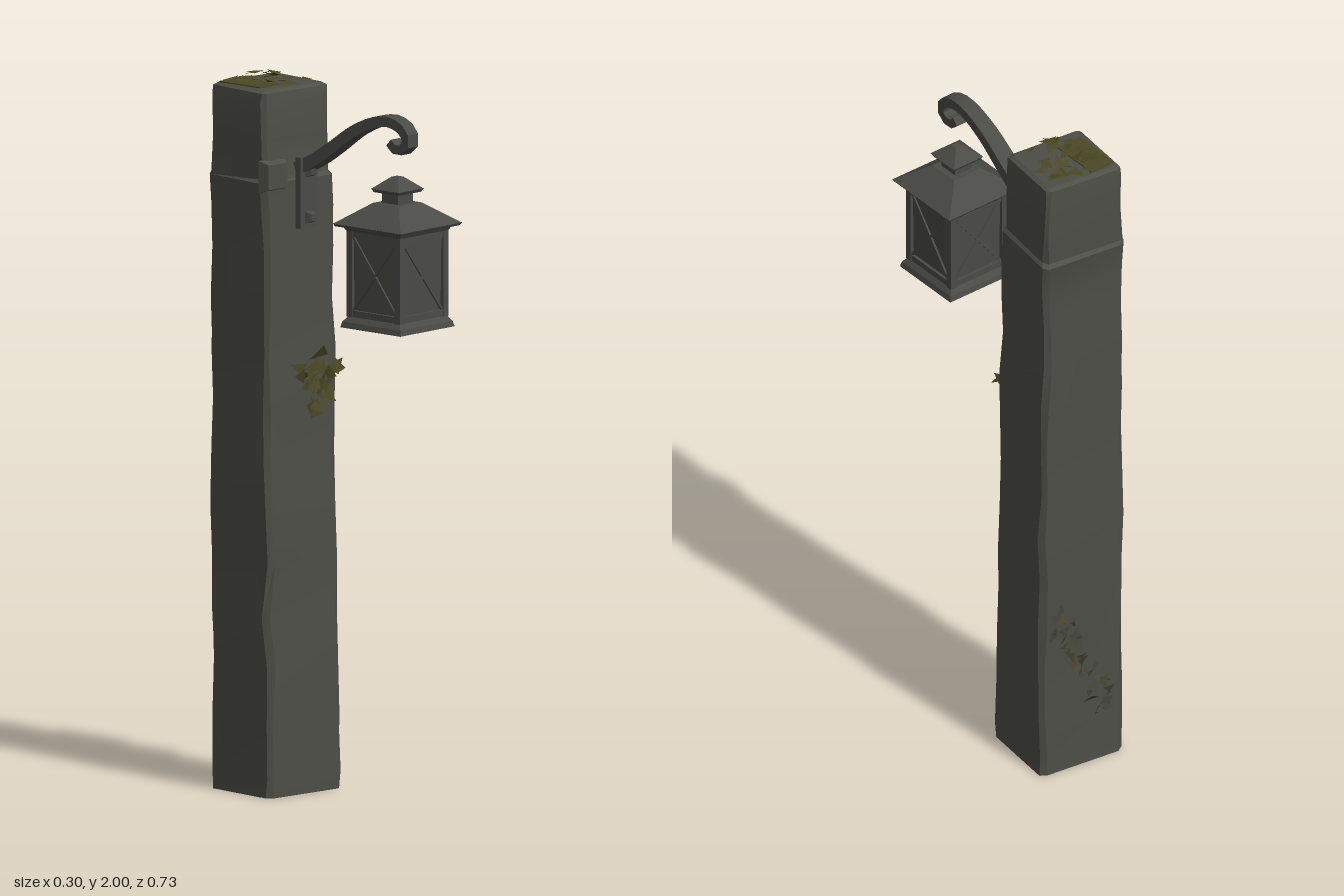
import * as THREE from 'three';
import { toCreasedNormals } from 'three/addons/utils/BufferGeometryUtils.js';

const stone = new THREE.MeshStandardMaterial({ color: 0x4d4e46 });
stone.name = 'weatheredWood';
const iron = new THREE.MeshStandardMaterial({ color: 0x4a4b46 });
iron.name = 'agedIron';
const mossGreen = new THREE.MeshStandardMaterial({ color: 0x4b4824, side: THREE.DoubleSide });
mossGreen.name = 'moss';
const bark = new THREE.MeshStandardMaterial({ color: 0x43443a, side: THREE.DoubleSide });
bark.name = 'darkGrowth';

// Small seeded random generator
function seeded(seed) {
  return () => {
    seed = (seed * 16807) % 2147483647;
    return seed / 2147483647;
  };
}

function add(parent, name, geometry, material, x = 0, y = 0, z = 0) {
  const mesh = new THREE.Mesh(geometry, material);
  mesh.name = name;
  mesh.position.set(x, y, z);
  parent.add(mesh);
  return mesh;
}

// Closed skin over rings of [x, y, z] points, counterclockwise about the path
function loft(rings, crease = 0.5) {
  const pos = [];
  const n = rings[0].length;
  const tri = (a, b, c) => pos.push(...a, ...b, ...c);
  for (let r = 0; r < rings.length - 1; r++) {
    for (let i = 0; i < n; i++) {
      const j = (i + 1) % n;
      const [a, b] = [rings[r], rings[r + 1]];
      tri(a[i], a[j], b[j]);
      tri(a[i], b[j], b[i]);
    }
  }
  const [first, last] = [rings[0], rings[rings.length - 1]];
  for (let i = 1; i < n - 1; i++) {
    tri(first[0], first[i + 1], first[i]);
    tri(last[0], last[i], last[i + 1]);
  }
  const g = new THREE.BufferGeometry();
  g.setAttribute('position', new THREE.Float32BufferAttribute(pos, 3));
  return toCreasedNormals(g, crease);
}

// Square frustum with given half widths
function frustum(bottom, top, height) {
  const g = new THREE.CylinderGeometry(top * Math.SQRT2, bottom * Math.SQRT2, height, 4, 1);
  g.rotateY(Math.PI / 4);
  return toCreasedNormals(g, 0.3);
}

// Skewed square post with worn corners, a ledge and a bevelled top
function postGeometry() {
  const rand = seeded(71);
  const corners = [[-0.145, 0.106], [0.12, 0.136], [0.145, -0.104], [-0.12, -0.139]];
  // height, scale, shift in z
  const levels = [[0, 1, 0], [0.05, 1, 0], [0.2, 1, 0], [0.36, 0.995, 0], [0.5, 1, -0.003],
    [0.66, 0.985, -0.005], [0.8, 1.01, -0.006], [0.95, 0.98, -0.008], [1.1, 0.985, -0.01],
    [1.24, 0.965, -0.01], [1.38, 0.97, -0.012], [1.52, 0.96, -0.012], [1.64, 0.955, -0.014],
    [1.725, 0.985, -0.018], [1.735, 0.94, -0.02], [1.84, 0.935, -0.021], [1.95, 0.92, -0.022],
    [1.975, 0.89, -0.022], [1.983, 0.8, -0.022]];
  const rings = levels.map(([y, s, dz], k) => {
    const ring = [];
    const wobble = k === 0 || y > 1.97 ? 0 : 0.01;
    corners.forEach((c, i) => {
      const [p, q] = [corners[(i + 3) % 4], corners[(i + 1) % 4]];
      const jx = (rand() - 0.5) * wobble, jz = (rand() - 0.5) * wobble;
      [p, q].forEach((o) => {
        const t = 0.03 + rand() * 0.05;
        ring.push([(c[0] + (o[0] - c[0]) * t) * s + jx, y,
          -0.206 + dz + (c[1] + (o[1] - c[1]) * t) * s + jz]);
      });
    });
    return ring;
  });
  return loft(rings, 0.45);
}

// Scatter of ragged leaves; place(u, v, out) maps to the surface
function scatter(count, size, lift, seed, pick, place) {
  const rand = seeded(seed);
  const pos = [];
  for (let k = 0; k < count; k++) {
    const [u, v] = pick(rand);
    const turn = rand() * Math.PI * 2;
    for (let i = 0; i < 3; i++) {
      const a = turn + i * 2.1 + rand() * 0.8;
      const r = size * (0.4 + rand() * 0.8);
      pos.push(...place(u + r * Math.cos(a), v + r * Math.sin(a), 0.002 + rand() * lift));
    }
  }
  const g = new THREE.BufferGeometry();
  g.setAttribute('position', new THREE.Float32BufferAttribute(pos, 3));
  g.computeVertexNormals();
  return g;
}

// Tapered flat bar swept along the curl
function bracketGeometry() {
  const path = new THREE.CatmullRomCurve3([[1.755, -0.11], [1.785, -0.05], [1.83, 0.02], [1.885, 0.1],
    [1.92, 0.18], [1.925, 0.235], [1.905, 0.28], [1.875, 0.293], [1.852, 0.275], [1.852, 0.245],
    [1.868, 0.228]].map(([y, z]) => new THREE.Vector3(0, y, z)));
  const rings = [];
  for (let k = 0; k <= 22; k++) {
    const t = k / 22;
    const p = path.getPointAt(t), d = path.getTangentAt(t);
    const w = 0.03 - 0.011 * t, h = 0.018 - 0.005 * t;
    rings.push([[1, -1], [1, 1], [-1, 1], [-1, -1]].map(([sx, sn]) =>
      [sx * w + 0.003, p.y + sn * h * d.z, p.z - sn * h * d.y]));
  }
  return loft(rings, 0.6);
}

function lantern() {
  const g = new THREE.Group();
  g.name = 'lantern';
  add(g, 'lanternBase', frustum(0.112, 0.108, 0.016), iron, 0, 0.008);
  add(g, 'lanternFoot', frustum(0.108, 0.096, 0.016), iron, 0, 0.024);
  add(g, 'lanternBody', frustum(0.088, 0.092, 0.25), iron, 0, 0.155);
  add(g, 'lanternCollar', frustum(0.1, 0.108, 0.014), iron, 0, 0.278);
  add(g, 'roofEave', frustum(0.122, 0.127, 0.008), iron, 0, 0.288);
  add(g, 'roof', frustum(0.127, 0.048, 0.058), iron, 0, 0.32);
  add(g, 'chimney', frustum(0.03, 0.03, 0.036), iron, 0, 0.362);
  add(g, 'chimneyCapRim', frustum(0.046, 0.052, 0.01), iron, 0, 0.384);
  add(g, 'chimneyCap', frustum(0.052, 0.012, 0.034), iron, 0, 0.405);
  for (let i = 0; i < 4; i++) {
    // One corner post, two rails and crossed bars on each side
    const side = new THREE.Group();
    side.name = 'lanternSide';
    side.rotation.y = i * Math.PI / 2;
    add(side, 'cornerPost', new THREE.BoxGeometry(0.02, 0.25, 0.02), iron, 0.09, 0.155, 0.09);
    add(side, 'lowerRail', new THREE.BoxGeometry(0.18, 0.018, 0.014), iron, 0, 0.04, 0.09);
    add(side, 'upperRail', new THREE.BoxGeometry(0.18, 0.018, 0.014), iron, 0, 0.265, 0.09);
    for (const s of [-1, 1]) {
      add(side, 'crossBar', new THREE.BoxGeometry(0.007, 0.265, 0.006), iron, 0, 0.153, 0.093)
        .rotation.z = s * 0.66;
    }
    g.add(side);
  }
  return g;
}

export function createModel() {
  const model = new THREE.Group();
  model.name = 'lanternPost';
  add(model, 'post', postGeometry(), stone);

  // Wall plate, bolts and splinters under the bracket
  add(model, 'bracketPlate', new THREE.BoxGeometry(0.07, 0.2, 0.02), iron, 0.0, 1.69, -0.092);
  for (const y of [1.62, 1.75]) {
    add(model, 'bolt', frustum(0.018, 0.01, 0.02), iron, 0, y, -0.075).rotation.x = Math.PI / 2;
  }
  add(model, 'bracket', bracketGeometry(), iron);
  const knot = add(model, 'knot', frustum(0.045, 0.035, 0.03), stone, -0.105, 1.745, -0.117);
  knot.rotation.set(Math.PI / 2, 0, 0.1);

  const hanging = lantern();
  hanging.position.set(0.002, 1.35, 0.245);
  model.add(hanging);

  // Moss on the top, spread over the skewed square
  const topPlace = (u, v, out) => [u, 1.981 + out, -0.228 + v + 0.12 * u];
  const topPick = (r) => [(r() - 0.5) * 0.18, (r() - 0.5) * 0.18];
  add(model, 'topMoss', scatter(34, 0.028, 0.017, 12, topPick, topPlace), mossGreen);
  add(model, 'topMossPatch', new THREE.BoxGeometry(0.08, 0.004, 0.15), mossGreen, -0.06, 1.984, -0.25);

  // Moss on the front face
  const frontPlace = (u, v, out) => [u, v, -0.089 + 0.113 * u + out];
  const frontPick = (r) => [0.03 + (r() + r() - 1) * 0.085, 1.15 + (r() + r() - 1) * 0.09];
  add(model, 'frontMoss', scatter(30, 0.03, 0.025, 5, frontPick, frontPlace), mossGreen);

  // Growth trailing down the back face
  const backPlace = (u, v, out) => [u, v, -0.33 + 0.132 * u - out];
  const backPick = (r) => {
    const t = r();
    return [0.11 - 0.17 * t + (r() - 0.5) * 0.06, 0.52 - 0.34 * t + (r() - 0.5) * 0.09];
  };
  add(model, 'backGrowth', scatter(36, 0.024, 0.025, 9, backPick, backPlace), bark);
  add(model, 'backMoss', scatter(8, 0.02, 0.022, 31, backPick, backPlace), mossGreen);
  return model;
}
